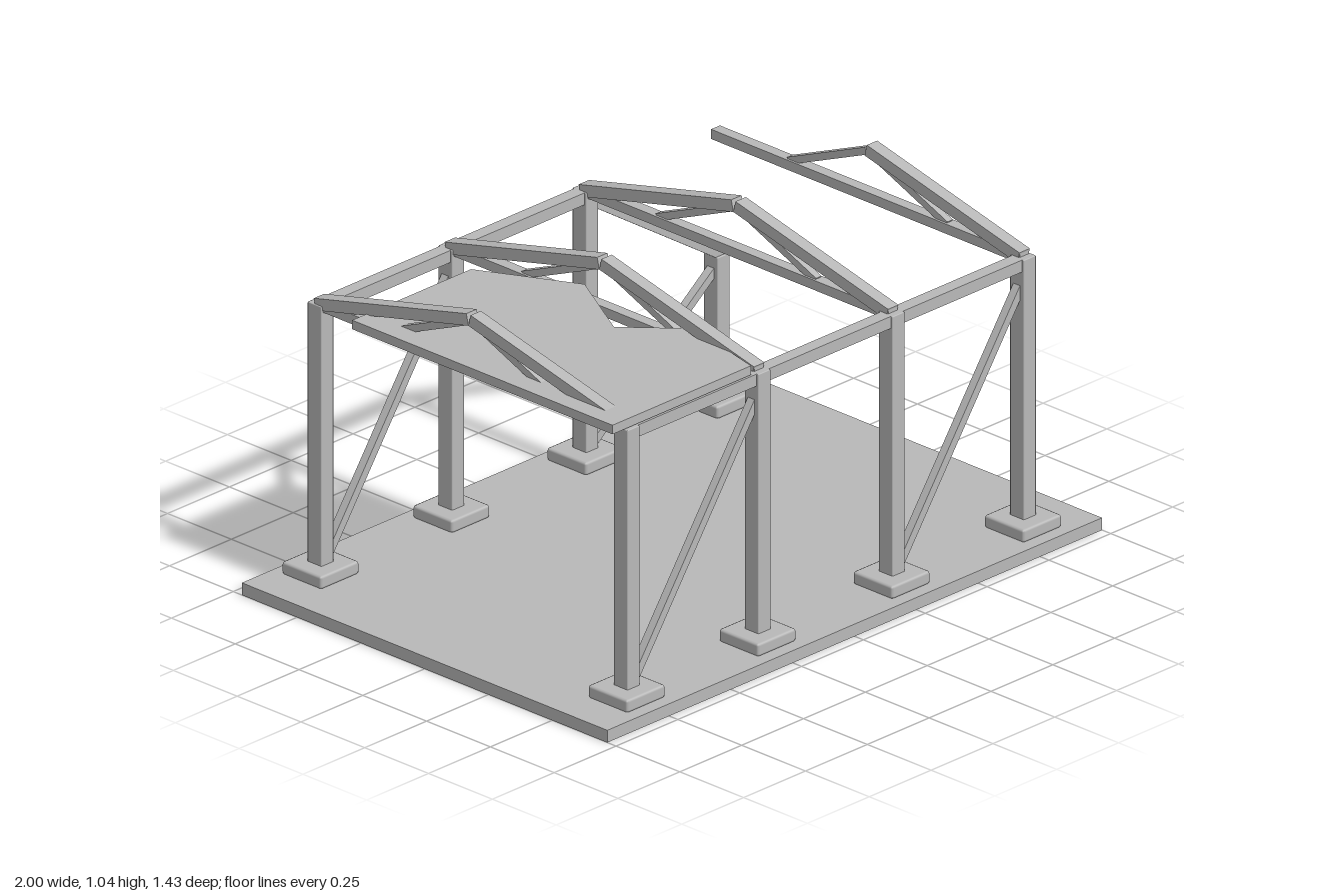
import * as THREE from 'three';
import { RoundedBoxGeometry } from 'three/addons/geometries/RoundedBoxGeometry.js';

export function createModel() {
  const model = new THREE.Group();
  model.name = 'ruinedFrameShed';
  const grey = new THREE.MeshStandardMaterial({ color: 0xb8b8b8 });
  grey.name = 'weatheredGrey';

  const add = (name, geometry, parent = model) => {
    const mesh = new THREE.Mesh(geometry, grey);
    mesh.name = name;
    parent.add(mesh);
    return mesh;
  };

  // Block given by its centre, base height and size
  const block = (name, x, y, z, w, h, d, bevel, parent) =>
    add(name, new RoundedBoxGeometry(w, h, d, 1, bevel), parent).position.set(x, y + h / 2, z);

  // Straight square-edged timber between two points
  const timber = (name, a, b, width, height, parent) => {
    const from = new THREE.Vector3(...a), to = new THREE.Vector3(...b);
    const mesh = add(name, new THREE.BoxGeometry(width, height, from.distanceTo(to)), parent);
    mesh.position.copy(from).lerp(to, 0.5);
    mesh.lookAt(to);
  };

  const bays = [-0.802, -0.273, 0.269, 0.8];
  const sideZ = 0.6;

  // Floor slab
  add('floorSlab', new THREE.BoxGeometry(2, 0.038, 1.432)).position.y = 0.019;

  // Footings and columns; the back column at the left end is broken off
  bays.forEach((x, i) => [-1, 1].forEach((s) => {
    const broken = i === 3 && s < 0;
    block('footing', x, 0.037, s * sideZ, 0.155, 0.04, 0.155, 0.008);
    block('column', x, 0.07, s * sideZ, 0.05, (broken ? 0.505 : 0.88) - 0.07, 0.055, 0.003);
  }));

  // Eave beams, with the one over the broken column fallen at one end
  const beamY = 0.861;
  for (let i = 0; i < 3; i++) {
    for (const s of [-1, 1]) {
      const fallen = i === 2 && s < 0;
      timber(fallen ? 'fallenEaveBeam' : 'eaveBeam',
        [bays[i], fallen ? 0.853 : beamY, s * sideZ],
        [bays[i + 1] + (fallen ? 0.015 : 0), fallen ? 0.5 : beamY, s * sideZ], 0.042, 0.037);
    }
  }

  // Diagonal wall braces in the two end bays
  const brace = (i, s, topY) => timber('wallBrace',
    [bays[i] + 0.015, 0.08, s * sideZ], [bays[i + 1] - 0.015, topY, s * sideZ], 0.026, 0.026);
  brace(0, 1, 0.79);
  brace(0, -1, 0.79);
  brace(2, 1, 0.79);
  brace(2, -1, 0.46);

  // Roof trusses; the end truss has lost its back rafter
  bays.forEach((x, i) => {
    const truss = new THREE.Group();
    truss.name = 'roofTruss';
    model.add(truss);
    timber('tieBeam', [x, 0.876, -0.605], [x, 0.876, 0.605], 0.036, 0.03, truss);
    for (const s of [-1, 1]) {
      if (!(i === 3 && s < 0)) {
        timber('rafter', [x, 0.878, s * 0.602], [x, 1.021, s * 0.004], 0.042, 0.036, truss);
      }
      timber('trussStrut', [x, 0.885, s * 0.31], [x, 1.013, s * 0.005], 0.022, 0.022, truss);
    }
  });

  // Remaining roof sheet with a jagged broken edge, outlined in x and z
  const outline = [[-0.88, -0.4], [-0.4, -0.4], [-0.25, -0.1], [-0.4, 0.16],
    [-0.25, 0.33], [-0.32, 0.62], [-0.88, 0.62]];
  const shape = new THREE.Shape(outline.map(([x, z]) => new THREE.Vector2(x, -z)));
  const sheet = new THREE.ExtrudeGeometry(shape, { depth: 0.028, bevelEnabled: false });
  sheet.rotateX(-Math.PI / 2);
  add('brokenRoofSheet', sheet).position.y = 0.884;

  return model;
}
